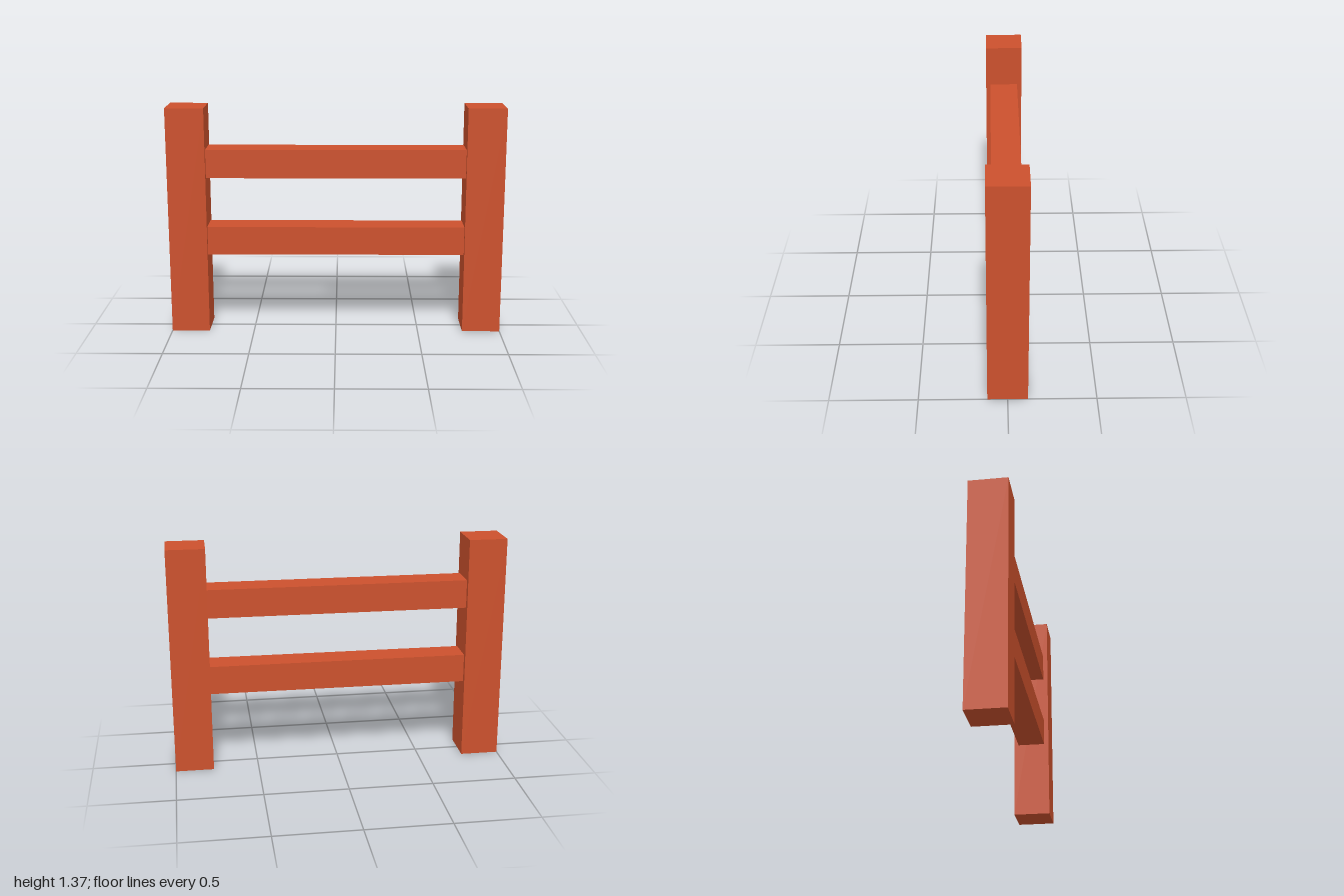
import * as THREE from 'three';

// A two-post fence section with two square rails
export function createModel() {
  const group = new THREE.Group();
  const wood = new THREE.MeshStandardMaterial({ color: 0xcc512d });

  const addBeam = (name, size, x, y) => {
    const mesh = new THREE.Mesh(new THREE.BoxGeometry(...size), wood);
    mesh.name = name;
    mesh.position.set(x, y, 0);
    group.add(mesh);
  };

  const postWidth = 0.228, postHeight = 1.37, railThickness = 0.171;
  const postX = 1 - postWidth / 2;

  // Upright posts
  addBeam('leftPost', [postWidth, postHeight, postWidth], postX, postHeight / 2);
  addBeam('rightPost', [postWidth, postHeight, postWidth], -postX, postHeight / 2);

  // Horizontal rails spanning between the posts
  const railLength = 2 - 2 * postWidth;
  addBeam('lowerRail', [railLength, railThickness, railThickness], 0, 0.563);
  addBeam('upperRail', [railLength, railThickness, railThickness], 0, 1.034);

  return group;
}
